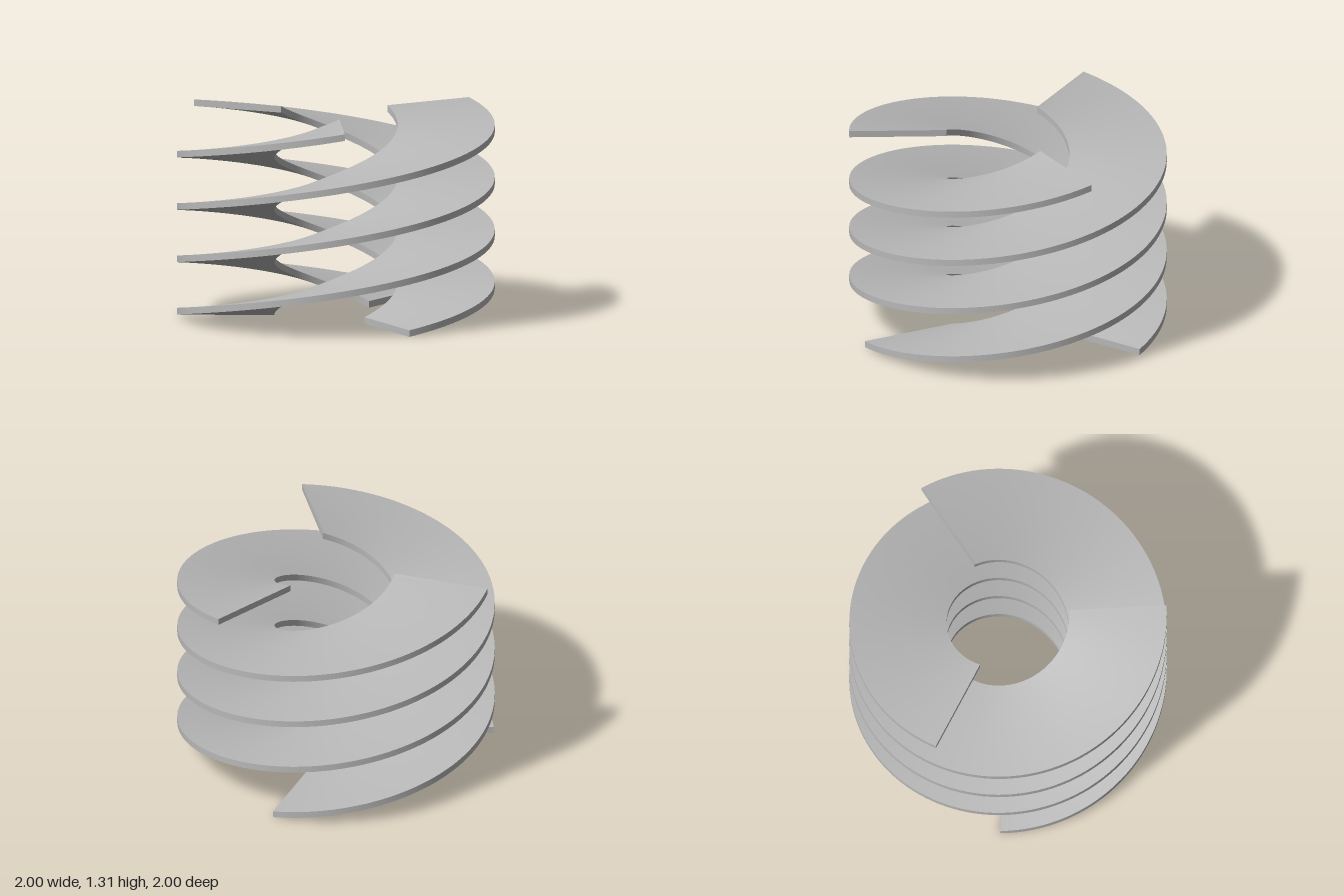
import * as THREE from 'three';

const INNER = 0.387, OUTER = 1, THICK = 0.042;
const PITCH = 1.0;                               // rise per full turn
const SWEEP = THREE.MathUtils.degToRad(455.7);   // turn of each blade
const STEPS = 160, BLADES = 3;

// Rectangular section swept along a helix; each side is its own smooth strip
function helixBlade(start) {
  const section = [[INNER, 0], [OUTER, 0], [OUTER, THICK], [INNER, THICK]];
  const positions = [], indices = [];

  const addPoint = ([r, y], t) => {
    const a = start - t * SWEEP;
    positions.push(r * Math.cos(a), y + t * SWEEP / (2 * Math.PI) * PITCH, r * Math.sin(a));
  };

  // Underside, outer rim, top and inner rim
  section.forEach((p, side) => {
    const q = section[(side + 1) % 4];
    const base = positions.length / 3;
    for (let i = 0; i <= STEPS; i++) {
      addPoint(p, i / STEPS);
      addPoint(q, i / STEPS);
      if (i < STEPS) {
        const k = base + i * 2;
        indices.push(k, k + 2, k + 1, k + 1, k + 2, k + 3);
      }
    }
  });

  // Flat end caps
  for (const t of [0, 1]) {
    const b = positions.length / 3;
    section.forEach((p) => addPoint(p, t));
    if (t === 0) indices.push(b, b + 1, b + 2, b, b + 2, b + 3);
    else indices.push(b, b + 2, b + 1, b, b + 3, b + 2);
  }

  const geometry = new THREE.BufferGeometry();
  geometry.setAttribute('position', new THREE.Float32BufferAttribute(positions, 3));
  geometry.setIndex(indices);
  geometry.computeVertexNormals();
  return geometry;
}

export function createModel() {
  const group = new THREE.Group();
  group.name = 'tripleHelix';
  const grey = new THREE.MeshStandardMaterial({ color: 0xb8b8b8 });
  grey.name = 'grey';

  // Three identical blades, a third of a turn apart
  for (let i = 0; i < BLADES; i++) {
    const blade = new THREE.Mesh(helixBlade(Math.PI + (i * 2 * Math.PI) / BLADES), grey);
    blade.name = `helixBlade${i + 1}`;
    group.add(blade);
  }
  return group;
}
